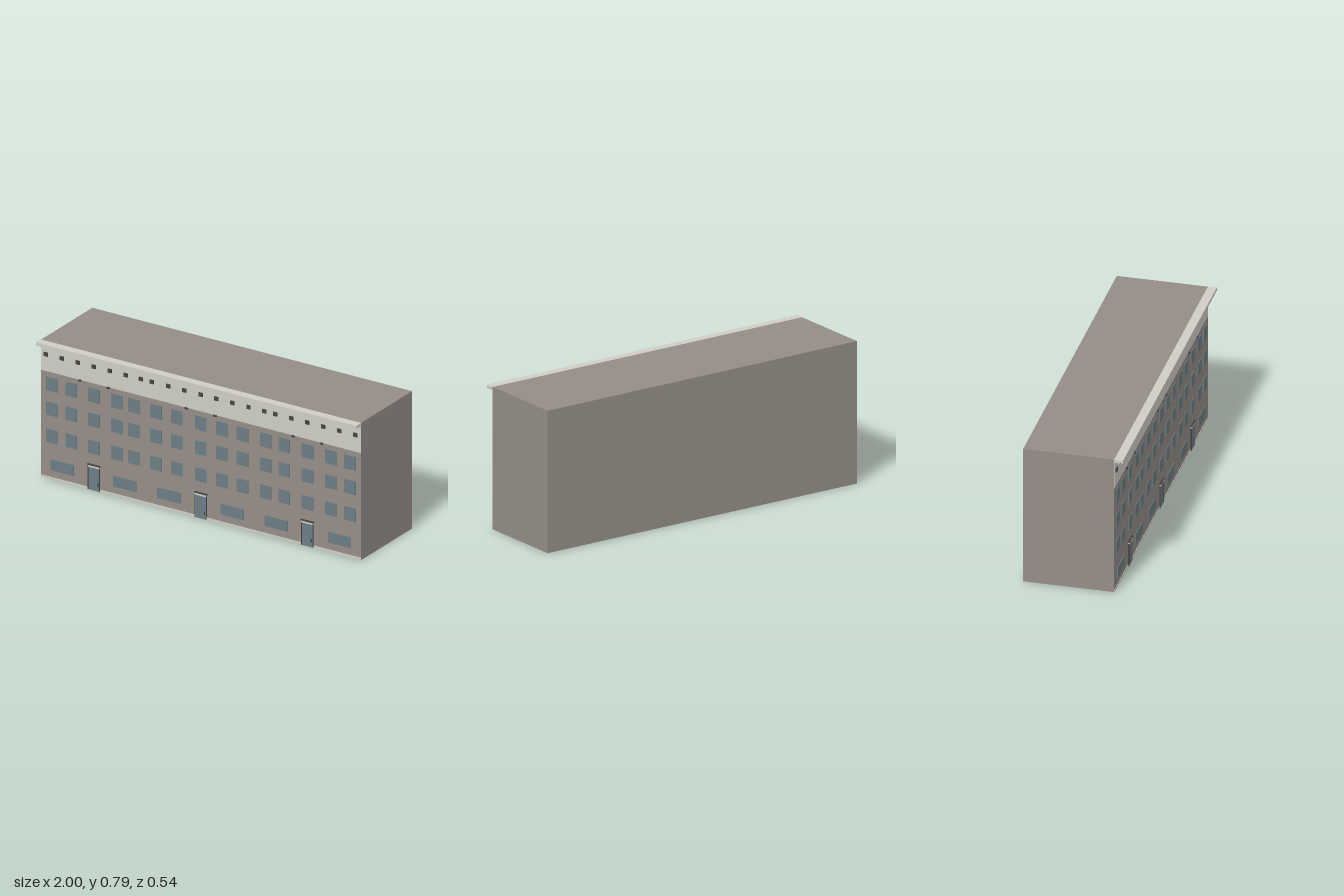
import * as THREE from 'three';

export function createModel() {
  const model = new THREE.Group();
  model.name = 'apartmentBlock';
  const mat = (name, color) => {
    const m = new THREE.MeshStandardMaterial({ color });
    m.name = name;
    return m;
  };
  const wall = mat('taupe wall', 0x958d87);
  const plaster = mat('pale plaster', 0xcfcdc5);
  const glass = mat('blue grey glass', 0x6b7e84);
  const dark = mat('dark metal', 0x454642);

  const FRONT = 0.222;
  // Box given by its centre x, width, and y and z ranges
  const box = (name, material, x, w, y0, y1, z0, z1, parent = model) => {
    const mesh = new THREE.Mesh(new THREE.BoxGeometry(w, y1 - y0, z1 - z0), material);
    mesh.position.set(x, (y0 + y1) / 2, (z0 + z1) / 2);
    mesh.name = name;
    parent.add(mesh);
    return mesh;
  };
  const group = (name) => {
    const g = new THREE.Group();
    g.name = name;
    model.add(g);
    return g;
  };

  // Main volume, attic band, cornice and plinth
  box('buildingBody', wall, 0, 1.996, 0, 0.785, -0.27, FRONT);
  box('atticBand', plaster, 0, 1.996, 0.613, 0.767, FRONT, FRONT + 0.002);
  box('corniceSlab', plaster, 0, 2, 0.767, 0.785, FRONT, 0.27);
  box('plinthStrip', plaster, 0, 1.996, 0, 0.014, FRONT, FRONT + 0.002);

  // Three rows of square windows
  const columns = [-0.93, -0.81, -0.667, -0.525, -0.42, -0.28, -0.15, 0,
    0.13, 0.26, 0.405, 0.52, 0.665, 0.81, 0.93];
  const windows = group('windows');
  for (const [y0, y1] of [[0.21, 0.286], [0.365, 0.441], [0.504, 0.583]])
    for (const x of columns)
      box('window', glass, x, 0.07, y0, y1, FRONT, FRONT + 0.004, windows);

  // Wide ground floor windows
  const lower = group('groundFloorWindows');
  for (const x of [-0.865, -0.475, -0.2, 0.195, 0.47, 0.865])
    box('wideWindow', glass, x, 0.143, 0.054, 0.115, FRONT, FRONT + 0.004, lower);

  // Entrances with handle, frame and canopy
  for (const x of [-0.667, 0, 0.665]) {
    const entrance = group('entrance');
    box('door', glass, x, 0.068, 0.002, 0.134, FRONT, FRONT + 0.005, entrance);
    for (const s of [-1, 1])
      box('doorJamb', dark, x + s * 0.035, 0.003, 0.002, 0.134, FRONT, FRONT + 0.006, entrance);
    box('doorHandle', dark, x + 0.026, 0.006, 0.03, 0.048, FRONT, FRONT + 0.007, entrance);
    box('canopy', plaster, x, 0.07, 0.132, 0.142, FRONT, FRONT + 0.008, entrance);
    box('canopyTop', dark, x, 0.078, 0.142, 0.149, FRONT, FRONT + 0.008, entrance);
  }

  // Attic vents
  const vents = group('atticVents');
  for (const x of [-0.965, -0.866, -0.767, -0.668, -0.568, -0.468, -0.372, -0.305, -0.203, -0.102,
    0, 0.098, 0.198, 0.299, 0.398, 0.466, 0.567, 0.666, 0.765, 0.866, 0.965])
    box('vent', dark, x, 0.024, 0.699, 0.721, FRONT, FRONT + 0.008, vents);

  // Small lamps beneath the attic band
  const lamps = group('lamps');
  for (const x of [-0.755, -0.577, -0.09, 0.09, 0.577, 0.755])
    box('lamp', dark, x, 0.016, 0.606, 0.615, FRONT, FRONT + 0.01, lamps);

  return model;
}
